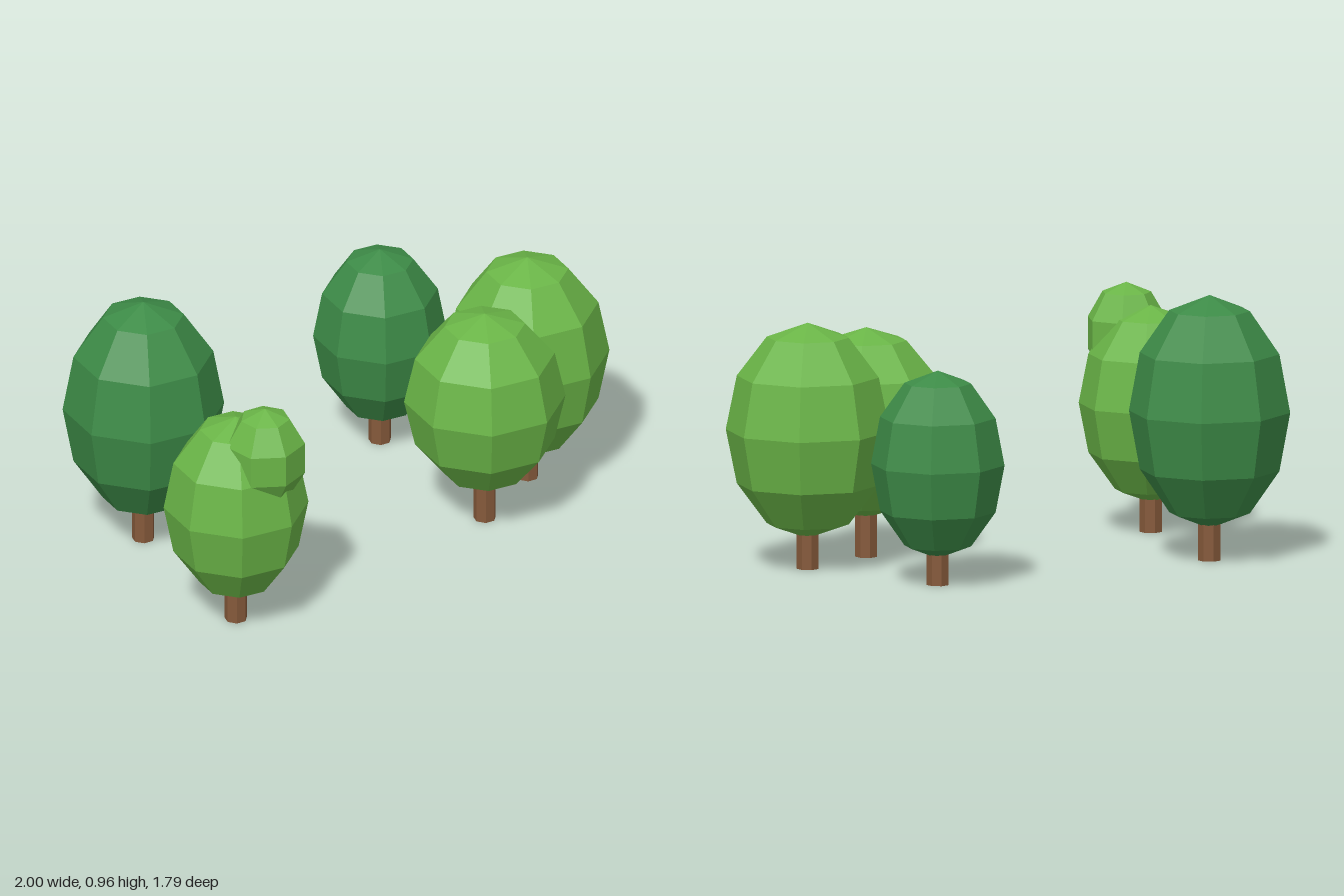
import * as THREE from 'three';

const mat = (name, color) => {
  const m = new THREE.MeshStandardMaterial({ color, flatShading: true });
  m.name = name;
  return m;
};

export function createModel() {
  const lightLeaf = mat('light leaf green', 0x6ab547);
  const darkLeaf = mat('dark leaf green', 0x3d8b47);
  const bark = mat('bark brown', 0x85593a);

  const add = (parent, name, geometry, material, x, y, z) => {
    const mesh = new THREE.Mesh(geometry, material);
    mesh.name = name;
    mesh.position.set(x, y, z);
    parent.add(mesh);
    return mesh;
  };

  // x, z, crown radius, crown bottom, crown top, leaf colour
  const trees = [
    ['leftDarkTree', -0.71, 0, 0.29, 0.115, 0.96, darkLeaf],
    ['frontLightTree', -0.435, 0.63, 0.26, 0.105, 0.82, lightLeaf],
    ['backDarkTree', 0.2, -0.657, 0.24, 0.095, 0.775, darkLeaf],
    ['middleLightTree', 0.52, -0.04, 0.29, 0.14, 0.83, lightLeaf],
    ['rightLightTree', 0.7, -0.337, 0.295, 0.11, 0.89, lightLeaf],
  ];

  const model = new THREE.Group();
  model.name = 'treeGrove';
  for (const [name, x, z, r, bottom, top, leaf] of trees) {
    const tree = new THREE.Group();
    tree.name = name;
    tree.position.set(x, 0, z);
    const half = (top - bottom) / 2;

    // Egg-shaped faceted crown
    const crown = new THREE.SphereGeometry(1, 8, 6).scale(r, half, r);
    add(tree, 'crown', crown, leaf, 0, bottom + half, 0);

    // Short trunk reaching up into the crown
    const h = bottom + 0.12;
    add(tree, 'trunk', new THREE.CylinderGeometry(0.041, 0.041, h, 7), bark, 0, h / 2, 0);

    // Extra leaf clump on the front tree
    if (name === 'frontLightTree') {
      const clump = new THREE.SphereGeometry(1, 7, 5).rotateY(-Math.PI / 2).scale(0.152, 0.19, 0.152);
      add(tree, 'leafClump', clump, leaf, 0.097, 0.7, 0.08);
    }
    model.add(tree);
  }
  return model;
}
